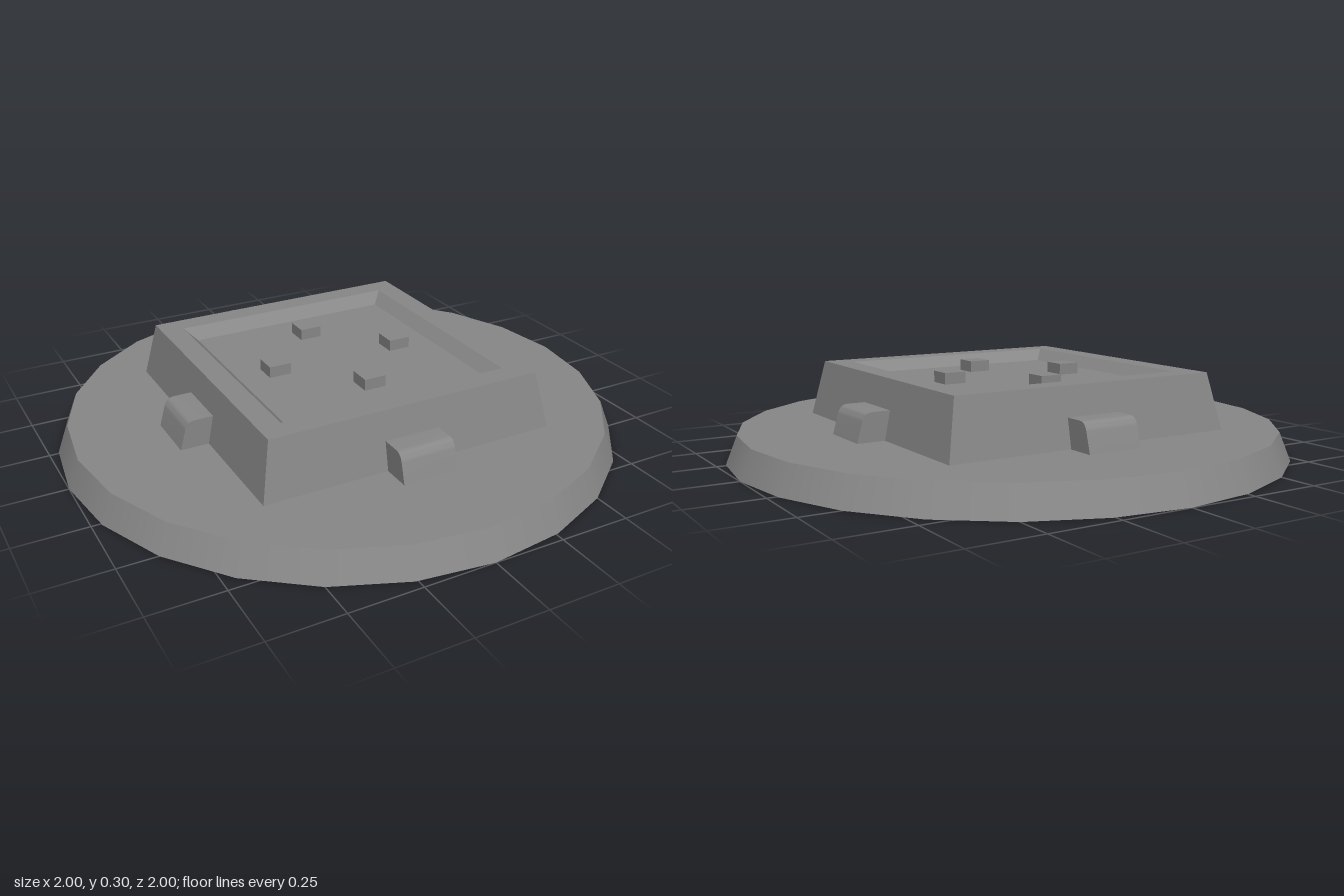
import * as THREE from 'three';
import { toCreasedNormals } from 'three/addons/utils/BufferGeometryUtils.js';

export function createModel() {
  const model = new THREE.Group();
  model.name = 'roundBaseWithSocket';
  const grey = new THREE.MeshStandardMaterial({ color: 0x888888 });
  grey.name = 'grey';

  const add = (name, geometry, x = 0, y = 0, z = 0) => {
    const mesh = new THREE.Mesh(geometry, grey);
    mesh.name = name;
    mesh.position.set(x, y, z);
    model.add(mesh);
    return mesh;
  };

  // Tapered round base
  add('base', new THREE.CylinderGeometry(0.96, 1, 0.1, 24), 0, 0.05, 0);

  // Square frame with sloped outer walls and a shallow bevelled recess
  const profile = [[0.54, 0.1], [0.5, 0.3], [0.42, 0.3], [0.38, 0.26]]
    .map(([half, y]) => new THREE.Vector2(half * Math.SQRT2, y));
  const frame = new THREE.LatheGeometry(profile, 4, Math.PI / 4);
  add('frame', toCreasedNormals(frame, 0.1));

  // Recess floor
  add('recessFloor', new THREE.PlaneGeometry(0.76, 0.76).rotateX(-Math.PI / 2), 0, 0.26, 0);

  // Rounded clip outline, extruded across its width
  const outline = new THREE.Shape();
  outline.moveTo(0.52, 0.1);
  outline.lineTo(0.64, 0.1);
  outline.lineTo(0.62, 0.17);
  outline.quadraticCurveTo(0.612, 0.2, 0.585, 0.2);
  outline.lineTo(0.52, 0.2);
  outline.closePath();
  const clip = toCreasedNormals(
    new THREE.ExtrudeGeometry(outline, { depth: 0.2, bevelEnabled: false, curveSegments: 5 })
      .translate(0, 0, -0.1), 0.6);

  // One clip and one small stud per side
  const stud = new THREE.BoxGeometry(0.08, 0.04, 0.08);
  ['left', 'back', 'right', 'front'].forEach((side, i) => {
    const angle = i * Math.PI / 2;
    add(side + 'Clip', clip).rotation.y = angle;
    add(side + 'Stud', stud, 0.24 * Math.cos(angle), 0.28, -0.24 * Math.sin(angle));
  });

  return model;
}
